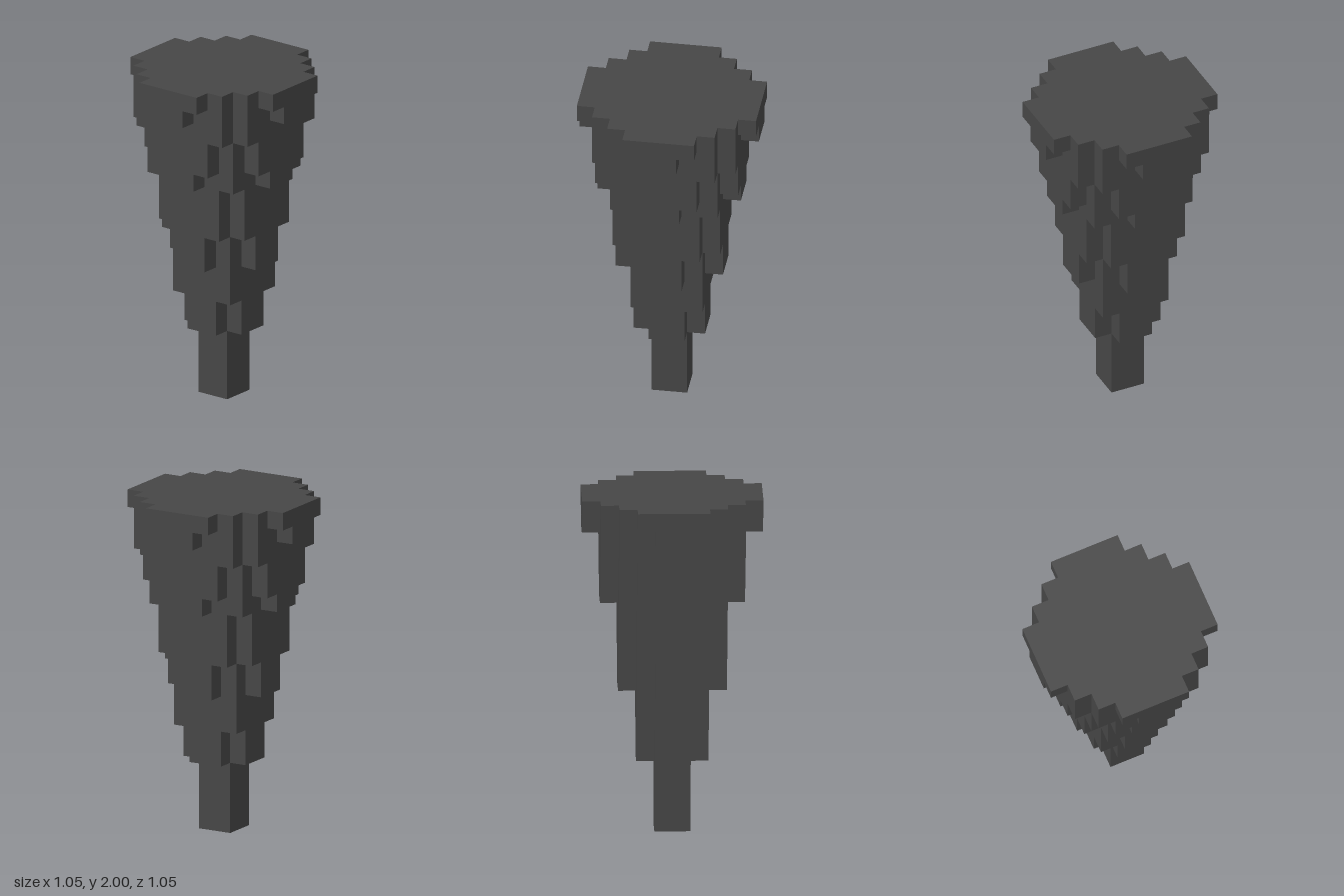
import * as THREE from 'three';

const U = 2 / 19; // one block

// Each tier: bottom and top in blocks, then the depth of each block column out from the centre
const TIERS = [
  ['tip', 0, 4, [1]],
  ['lowerCollar', 4, 6, [2, 1]],
  ['lowerBody', 6, 8, [2, 2]],
  ['middleCollar', 8, 10, [3, 2, 1]],
  ['middleBody', 10, 13, [3, 3, 2]],
  ['upperCollarBase', 13, 14, [4, 3, 3, 1]],
  ['upperCollar', 14, 16, [4, 4, 3, 2]],
  ['upperBody', 16, 17, [4, 4, 4, 3]],
  ['rimBase', 17, 18, [5, 4, 4, 3, 1]],
  ['rim', 18, 19, [5, 5, 4, 3, 2]],
];

// Stepped outline: one quadrant traced from its depths, then turned four times
function steppedShape(depths) {
  const quadrant = [];
  for (let i = depths.length - 1; i >= 0; i--) {
    if (depths[i] !== depths[i + 1]) quadrant.push([i + 1, depths[i]]);
    if (i > 0 && depths[i] !== depths[i - 1]) quadrant.push([i, depths[i]]);
  }
  const points = [];
  for (let turn = 0; turn < 4; turn++) {
    for (const [x, y] of quadrant) {
      const [px, py] = [[x, y], [-y, x], [-x, -y], [y, -x]][turn];
      points.push(new THREE.Vector2(px * U, py * U));
    }
  }
  return new THREE.Shape(points);
}

export function createModel() {
  const group = new THREE.Group();
  group.name = 'blockSpike';
  const stone = new THREE.MeshStandardMaterial({ color: 0x464646 });
  stone.name = 'dark stone';

  for (const [name, bottom, top, depths] of TIERS) {
    const geometry = new THREE.ExtrudeGeometry(steppedShape(depths), {
      depth: (top - bottom) * U,
      bevelEnabled: false,
    });
    geometry.rotateX(-Math.PI / 2);
    const tier = new THREE.Mesh(geometry, stone);
    tier.name = name;
    tier.position.y = bottom * U;
    group.add(tier);
  }
  return group;
}
